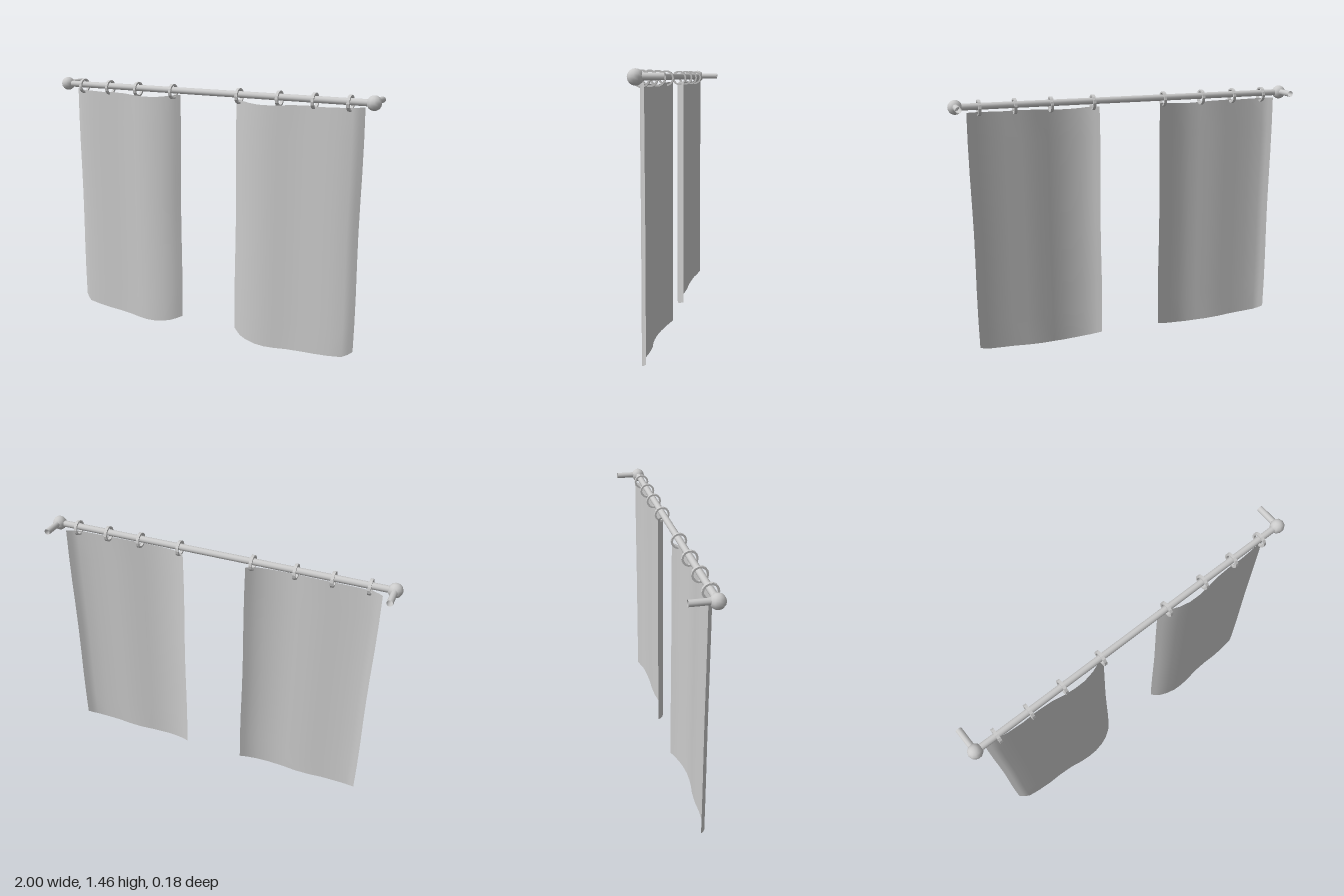
import * as THREE from 'three';

const ROD_Y = 1.425, ROD_Z = 0.042;

export function createModel() {
  const group = new THREE.Group();
  const mat = new THREE.MeshStandardMaterial({ color: 0xcccccc });
  const thin = new THREE.MeshStandardMaterial({ color: 0xcccccc, side: THREE.DoubleSide });

  const add = (name, geometry, material, x, y, z) => {
    const mesh = new THREE.Mesh(geometry, material);
    mesh.name = name;
    mesh.position.set(x, y, z);
    group.add(mesh);
  };

  // Rod
  add('rod', new THREE.CylinderGeometry(0.018, 0.018, 1.9, 12).rotateZ(Math.PI / 2), mat, 0, ROD_Y, ROD_Z);

  // Flat band ring with a square section, turned about the rod's axis
  const band = [[0.033, -0.008], [0.043, -0.008], [0.043, 0.008], [0.033, 0.008], [0.033, -0.008]];
  const ringGeo = new THREE.LatheGeometry(band.map(([r, h]) => new THREE.Vector2(r, h)), 14)
    .toNonIndexed().rotateZ(Math.PI / 2);
  ringGeo.computeVertexNormals();

  // Cloth cross-section: x, z, bottom y, top y
  const section = [
    [0.18, 0.012, 0.045, 1.397], [0.205, 0.03, 0.034, 1.396], [0.235, 0.048, 0.022, 1.392],
    [0.28, 0.064, 0.012, 1.386], [0.34, 0.075, 0.004, 1.382], [0.4, 0.076, 0.001, 1.382],
    [0.46, 0.071, 0.003, 1.385], [0.53, 0.06, 0.007, 1.39], [0.62, 0.056, 0.012, 1.392],
    [0.7, 0.058, 0.017, 1.39], [0.78, 0.054, 0.022, 1.392], [0.855, 0.046, 0.029, 1.394],
    [0.885, 0.03, 0.042, 1.396], [0.908, 0.014, 0.058, 1.397],
  ];
  const ROWS = 8;

  // One curtain panel; side is +1 or -1
  const curtain = (side) => {
    const cols = side > 0 ? section : [...section].reverse();
    const geo = new THREE.PlaneGeometry(1, 1, cols.length - 1, ROWS);
    const p = geo.attributes.position;
    for (let i = 0; i < p.count; i++) {
      const t = Math.floor(i / cols.length) / ROWS;
      const [x, z, bottom, top] = cols[i % cols.length];
      // edges bulge very slightly on the way down
      const bulge = 1 + 0.006 * Math.sin(t * Math.PI * 3);
      p.setXYZ(i, side * (0.545 + (x - 0.545) * bulge), top + (bottom - top) * t, z);
    }
    geo.computeVertexNormals();
    return geo;
  };

  for (const side of [1, -1]) {
    const label = side > 0 ? 'left' : 'right';
    add(label + 'Curtain', curtain(side), thin, 0, 0, 0);
    // Finial
    add(label + 'Finial', new THREE.SphereGeometry(0.039, 10, 8), mat, side * 0.961, ROD_Y, ROD_Z);
    // Wall bracket, an open tube running back from the finial
    add(label + 'Bracket', new THREE.CylinderGeometry(0.017, 0.017, 0.135, 10, 1, true).rotateX(Math.PI / 2),
      thin, side * 0.961, ROD_Y + 0.003, -0.0255);
    // Rings
    for (const x of [0.21, 0.448, 0.647, 0.838]) {
      add(label + 'Ring', ringGeo, thin, side * x, ROD_Y - 0.008, ROD_Z);
    }
  }
  return group;
}
